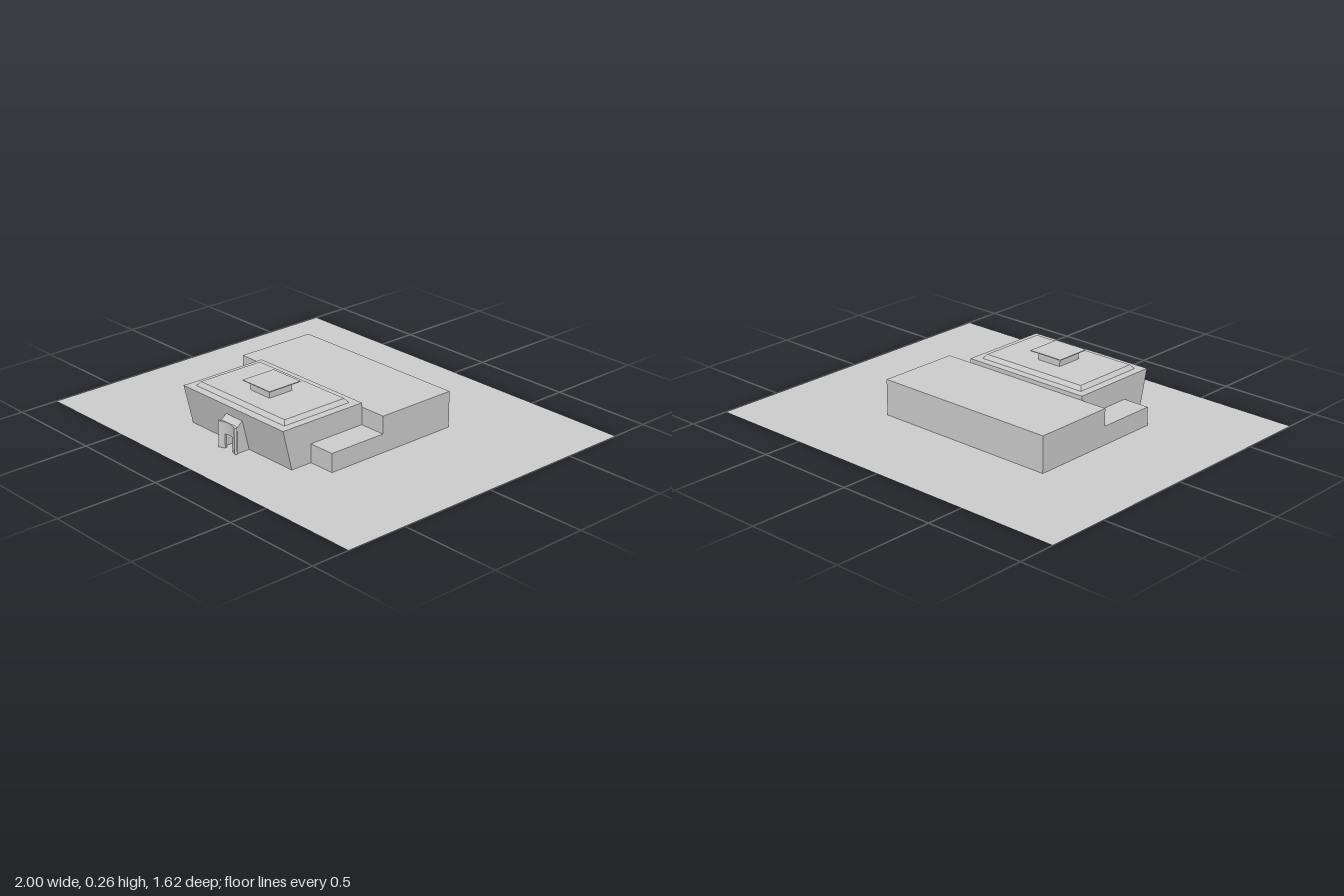
import * as THREE from 'three';

export function createModel() {
  const model = new THREE.Group();
  const mat = new THREE.MeshStandardMaterial({ color: 0xcccccc, flatShading: true });
  const thinMat = new THREE.MeshStandardMaterial({ color: 0xcccccc, side: THREE.DoubleSide });

  const add = (name, geometry, material = mat) => {
    const mesh = new THREE.Mesh(geometry, material);
    mesh.name = name;
    model.add(mesh);
    return mesh;
  };

  // Box given by its limits on each axis
  const block = (name, x0, x1, y0, y1, z0, z1) =>
    add(name, new THREE.BoxGeometry(x1 - x0, y1 - y0, z1 - z0))
      .position.set((x0 + x1) / 2, (y0 + y1) / 2, (z0 + z1) / 2);

  // Side profile of [z, y] points, extruded from x0 to x1
  const sideProfile = (name, points, x0, x1) => {
    const shape = new THREE.Shape(points.map(([z, y]) => new THREE.Vector2(z, y)));
    const geo = new THREE.ExtrudeGeometry(shape, { depth: x1 - x0, bevelEnabled: false });
    geo.rotateY(-Math.PI / 2).translate(x1, 0, 0);
    add(name, geo);
  };

  // Ground sheet
  add('ground', new THREE.PlaneGeometry(2, 1.62).rotateX(-Math.PI / 2), thinMat);

  // Rear block and the two low side wings
  block('rearBlock', -0.52, 0.43, 0, 0.175, -0.33, 0.08);
  block('rightWing', -0.52, -0.385, 0, 0.09, 0.08, 0.38);
  block('leftWing', 0.295, 0.43, 0, 0.09, 0.08, 0.38);

  // Main hall with its front wall leaning outward
  sideProfile('mainHall', [[0.08, 0], [0.49, 0], [0.537, 0.195], [0.08, 0.195]], -0.385, 0.295);

  // Raised roof: a box whose top edges are drawn inward
  const roof = new THREE.BoxGeometry(0.6, 0.02, 0.375);
  const p = roof.attributes.position;
  for (let i = 0; i < p.count; i++) {
    if (p.getY(i) > 0) {
      p.setX(i, p.getX(i) - Math.sign(p.getX(i)) * 0.015);
      p.setZ(i, p.getZ(i) - Math.sign(p.getZ(i)) * 0.015);
    }
  }
  roof.computeVertexNormals();
  add('raisedRoof', roof).position.set(-0.045, 0.205, 0.308);

  // Roof lantern and its thin cap
  block('lantern', -0.11, 0.02, 0.215, 0.257, 0.245, 0.377);
  block('lanternCap', -0.135, 0.047, 0.257, 0.261, 0.22, 0.4);

  // Curved entrance screen with a doorway
  const screenPart = (name, a0, a1, y0, y1) => {
    const shape = new THREE.Shape();
    shape.absarc(0, 0, 0.116, a0 - Math.PI / 2, a1 - Math.PI / 2, false);
    shape.absarc(0, 0, 0.104, a1 - Math.PI / 2, a0 - Math.PI / 2, true);
    const geo = new THREE.ExtrudeGeometry(shape, { depth: y1 - y0, bevelEnabled: false, curveSegments: 8 });
    geo.rotateX(Math.PI / 2).translate(-0.045, y1, 0.661);
    add(name, geo);
  };
  screenPart('entranceRightPier', -0.56, -0.235, 0, 0.07);
  screenPart('entranceLeftPier', 0.235, 0.56, 0, 0.07);
  screenPart('entranceLintel', -0.56, 0.56, 0.07, 0.126);

  // Porch walls and sloping porch roof joining the screen to the hall
  const cheek = [[0.485, 0], [0.555, 0], [0.555, 0.125], [0.526, 0.147]];
  sideProfile('porchRightWall', cheek, -0.1, -0.09);
  sideProfile('porchLeftWall', cheek, 0, 0.01);
  sideProfile('porchRoof', [[0.52, 0.137], [0.55, 0.115], [0.555, 0.125], [0.526, 0.147]], -0.09, 0);

  return model;
}
